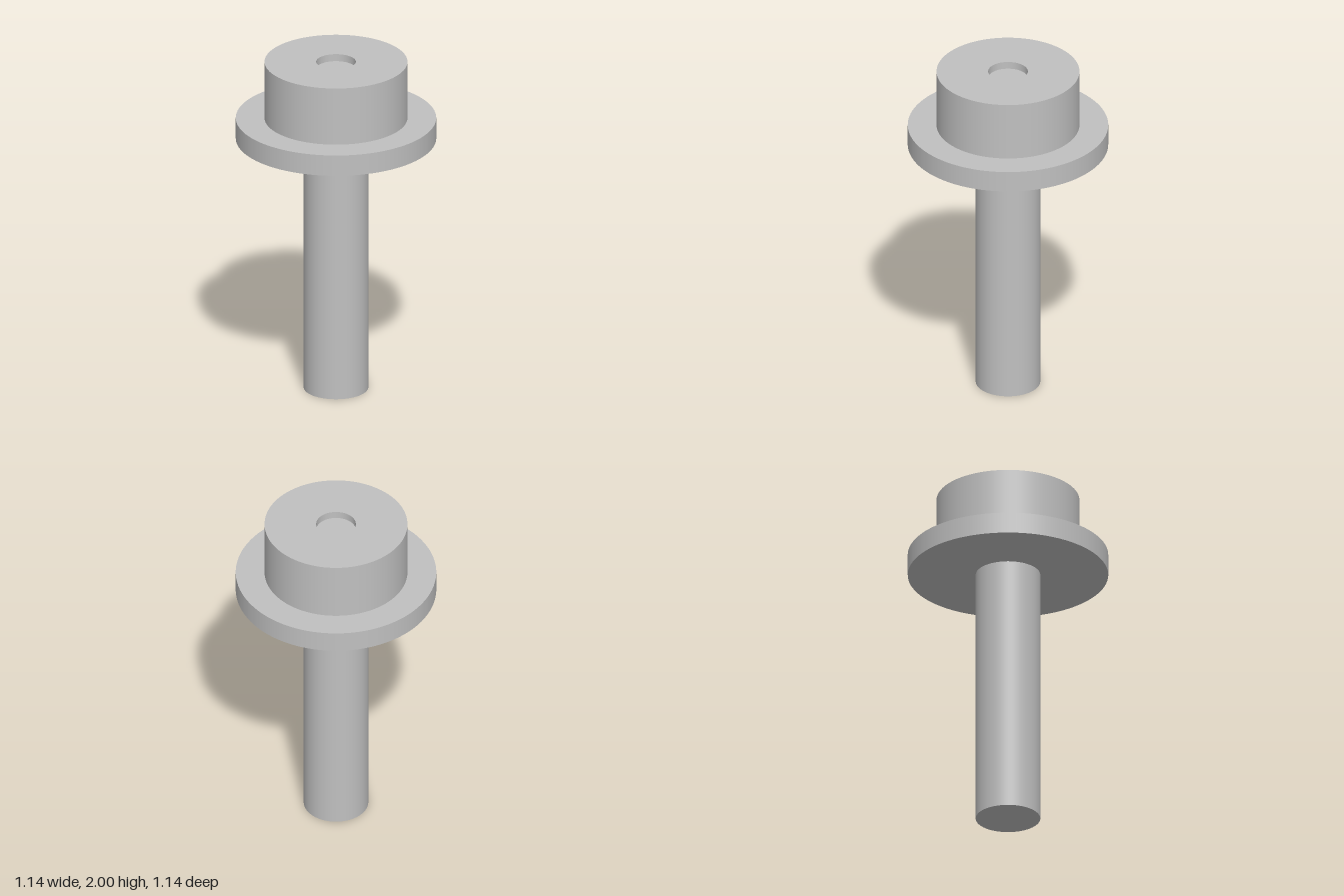
import * as THREE from 'three';
import { mergeGeometries } from 'three/addons/utils/BufferGeometryUtils.js';

const SHAFT = 0.184, FLANGE = 0.571, HEAD = 0.407, HOLE = 0.113;
const FLANGE_BOTTOM = 1.53, FLANGE_TOP = 1.655, TOP = 2, FLOOR = 1.957;

// Revolve each straight run of the profile on its own, so the corners stay sharp
function turned(profile) {
  const points = profile.map(([r, y]) => new THREE.Vector2(r, y));
  const runs = points.slice(1).map((p, i) => new THREE.LatheGeometry([points[i], p], 96));
  return mergeGeometries(runs);
}

export function createModel() {
  const group = new THREE.Group();
  group.name = 'flangedPin';
  const grey = new THREE.MeshStandardMaterial({ color: 0xc0c0c0 });
  grey.name = 'plain grey';

  // Profiles run from the bottom axis outward and up to the top axis
  const parts = {
    shaft: [[0, 0], [SHAFT, 0], [SHAFT, FLANGE_BOTTOM]],
    flange: [[SHAFT, FLANGE_BOTTOM], [FLANGE, FLANGE_BOTTOM], [FLANGE, FLANGE_TOP], [HEAD, FLANGE_TOP]],
    head: [[HEAD, FLANGE_TOP], [HEAD, TOP], [HOLE, TOP]],
    recess: [[HOLE, TOP], [HOLE, FLOOR], [0, FLOOR]],
  };
  for (const [name, profile] of Object.entries(parts)) {
    const mesh = new THREE.Mesh(turned(profile), grey);
    mesh.name = name;
    group.add(mesh);
  }
  return group;
}
